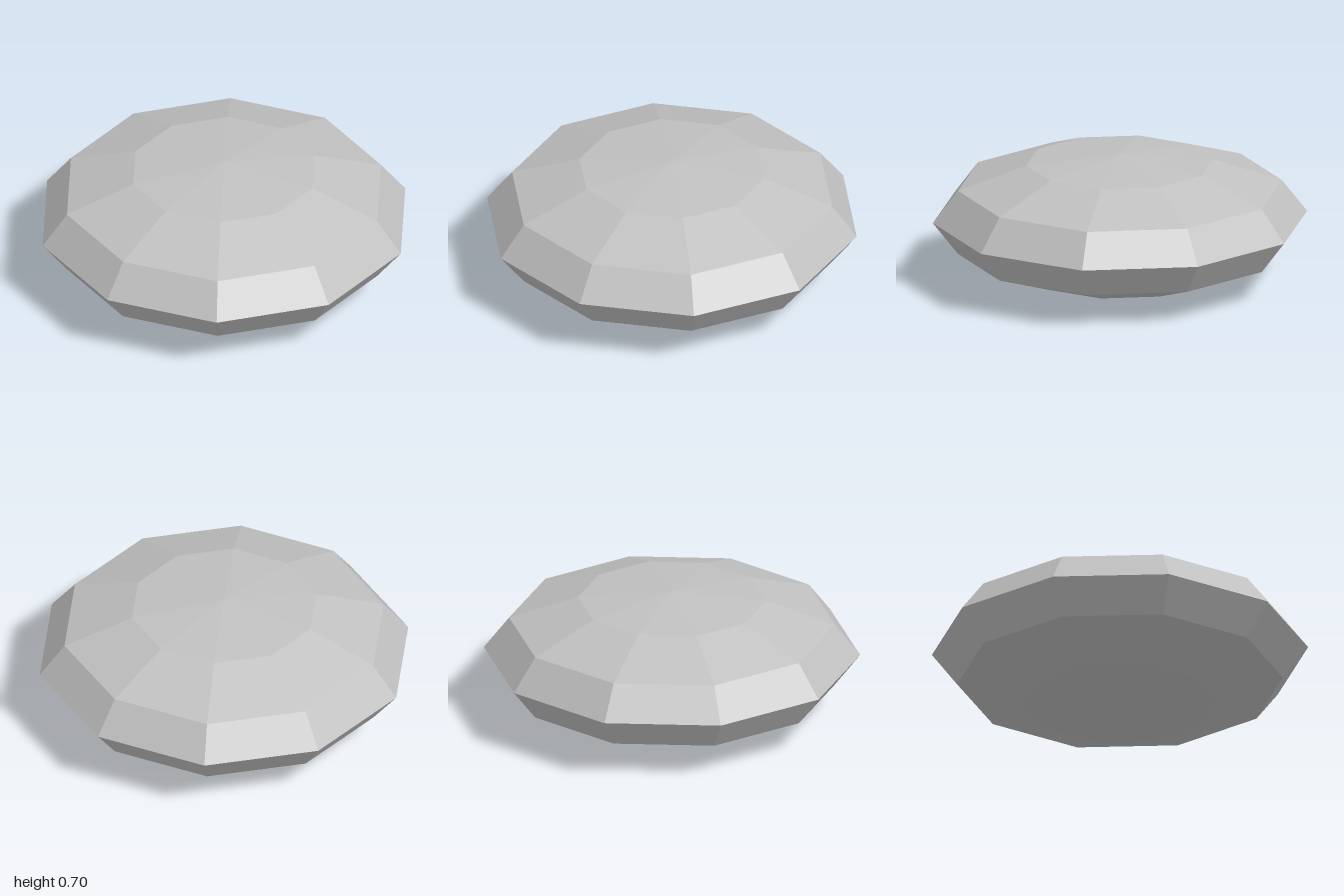
import * as THREE from 'three';

export function createModel() {
  const group = new THREE.Group();
  group.name = 'pebble';

  const stoneGrey = new THREE.MeshStandardMaterial({ color: 0xc0c0c0, flatShading: true });
  stoneGrey.name = 'stoneGrey';

  // Flattened ten-sided ball, turned so that corners point to the front and back
  const halfHeight = 0.35;
  const ball = new THREE.SphereGeometry(1, 10, 6);
  ball.rotateY(Math.PI / 2);
  ball.scale(1, halfHeight, 1);
  ball.translate(0, halfHeight, 0);

  // Separate the faces for crisp facets
  const facets = ball.toNonIndexed();
  facets.computeVertexNormals();

  const body = new THREE.Mesh(facets, stoneGrey);
  body.name = 'flattenedBody';
  group.add(body);
  return group;
}
